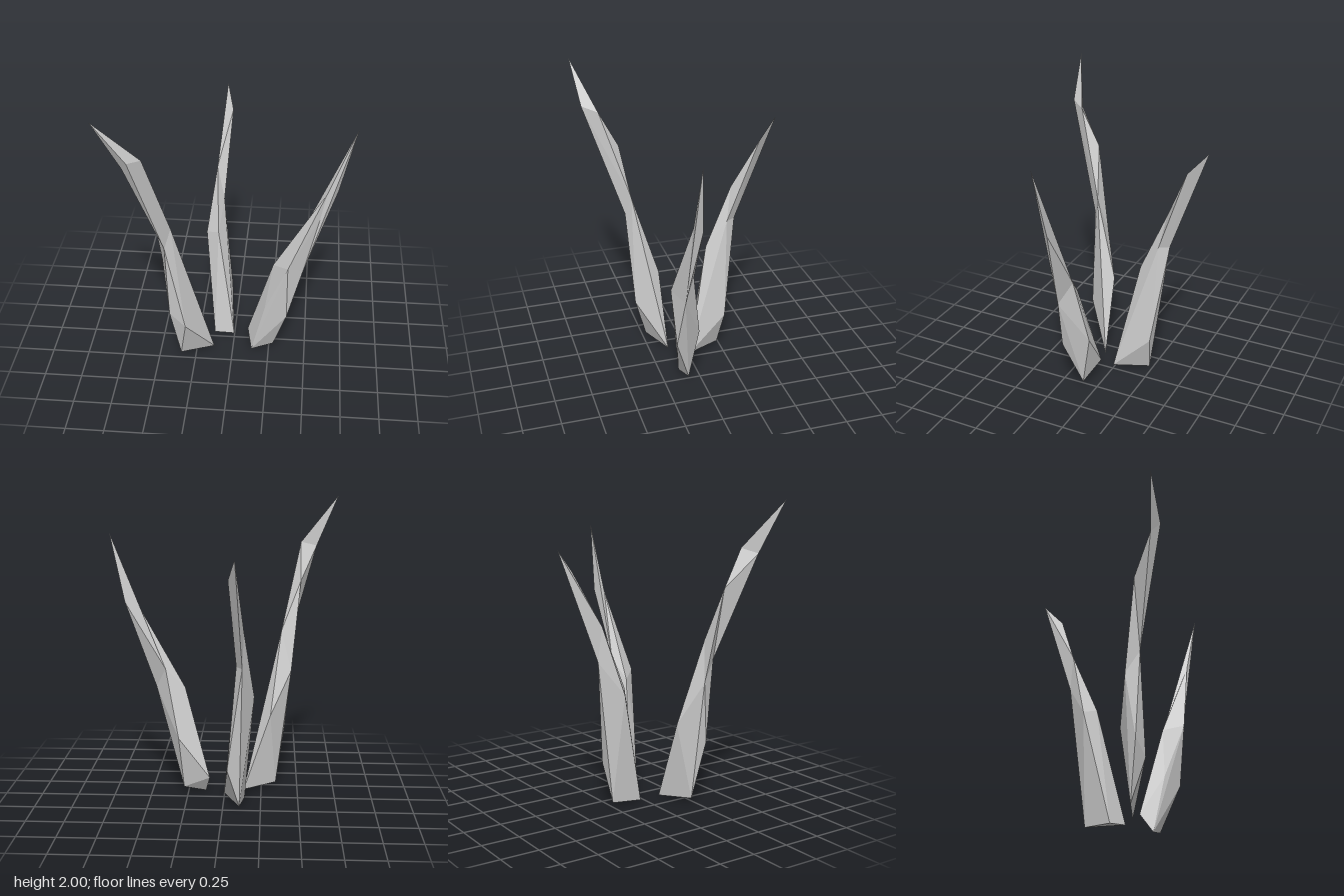
import * as THREE from 'three';
import { ConvexGeometry } from 'three/addons/geometries/ConvexGeometry.js';
import { mergeGeometries } from 'three/addons/utils/BufferGeometryUtils.js';

const material = new THREE.MeshStandardMaterial({ color: 0xcccccc, flatShading: true });

// A blade is a chain of faceted convex segments that share their joint corners.
function makeBlade(name, corners, segments) {
  const hulls = segments.map((keys) =>
    new ConvexGeometry(keys.split(' ').map((k) => new THREE.Vector3(...corners[k]))));
  const blade = new THREE.Mesh(mergeGeometries(hulls), material);
  blade.name = name;
  return blade;
}

export function createModel() {
  const group = new THREE.Group();
  group.name = 'grassBlades';

  // Tall blade leaning to the front right
  group.add(makeBlade('tallBlade', {
    base1: [-0.35, 0.03, 0.23], base2: [-0.13, 0.01, 0.12],
    low1: [-0.41, 0.42, 0.30], low2: [-0.305, 0.32, 0.31], low3: [-0.31, 0.54, 0.135],
    mid1: [-0.45, 0.83, 0.25], mid2: [-0.42, 0.97, 0.34], mid3: [-0.38, 1.10, 0.30],
    back: [-0.51, 1.44, 0.35],
    top1: [-0.62, 1.66, 0.53], top2: [-0.51, 1.69, 0.48], top3: [-0.58, 1.72, 0.58],
    tip: [-0.77, 2.0, 0.615],
  }, [
    'base1 base2 low1 low2 low3 mid1 mid2 mid3',
    'mid1 mid2 mid3 back',
    'mid2 mid3 back top1 top2 top3',
    'top1 top2 top3 tip',
  ]));

  // Blade leaning to the left
  group.add(makeBlade('leftBlade', {
    base1: [0.10, 0.12, 0.04], base2: [0.13, 0.0, 0.12], base3: [0.28, 0.035, 0.09],
    low1: [0.31, 0.40, 0.025], low2: [0.37, 0.36, 0.195], low3: [0.22, 0.39, 0.16],
    mid1: [0.27, 0.735, 0.125], mid2: [0.37, 0.78, 0.235],
    mid3: [0.47, 0.73, 0.165], mid4: [0.40, 0.87, 0.09],
    top1: [0.60, 1.32, 0.155], top2: [0.67, 1.32, 0.115],
    tip: [0.77, 1.78, 0.15],
  }, [
    'base1 base2 base3 low1 low2 low3 mid1 mid2 mid3 mid4',
    'mid1 mid2 mid3 mid4 top1 top2',
    'mid3 mid4 top1 top2 tip',
  ]));

  // Blade leaning to the back
  group.add(makeBlade('backBlade', {
    base1: [0, 0.03, -0.005], base2: [-0.11, 0.02, -0.235], base3: [-0.14, 0.01, -0.035],
    low: [-0.03, 0.28, -0.265],
    mid1: [-0.205, 0.76, -0.20], mid2: [-0.12, 0.79, -0.15],
    high1: [-0.09, 0.98, -0.29], high2: [-0.13, 0.98, -0.355],
    top1: [-0.14, 1.21, -0.33], top2: [-0.045, 1.56, -0.49],
    tip: [-0.09, 1.70, -0.615],
  }, [
    'base1 base2 base3 low mid1 mid2 high1 high2',
    'mid1 mid2 high1 high2 top1',
    'high1 high2 top1 top2 tip',
  ]));

  return group;
}
